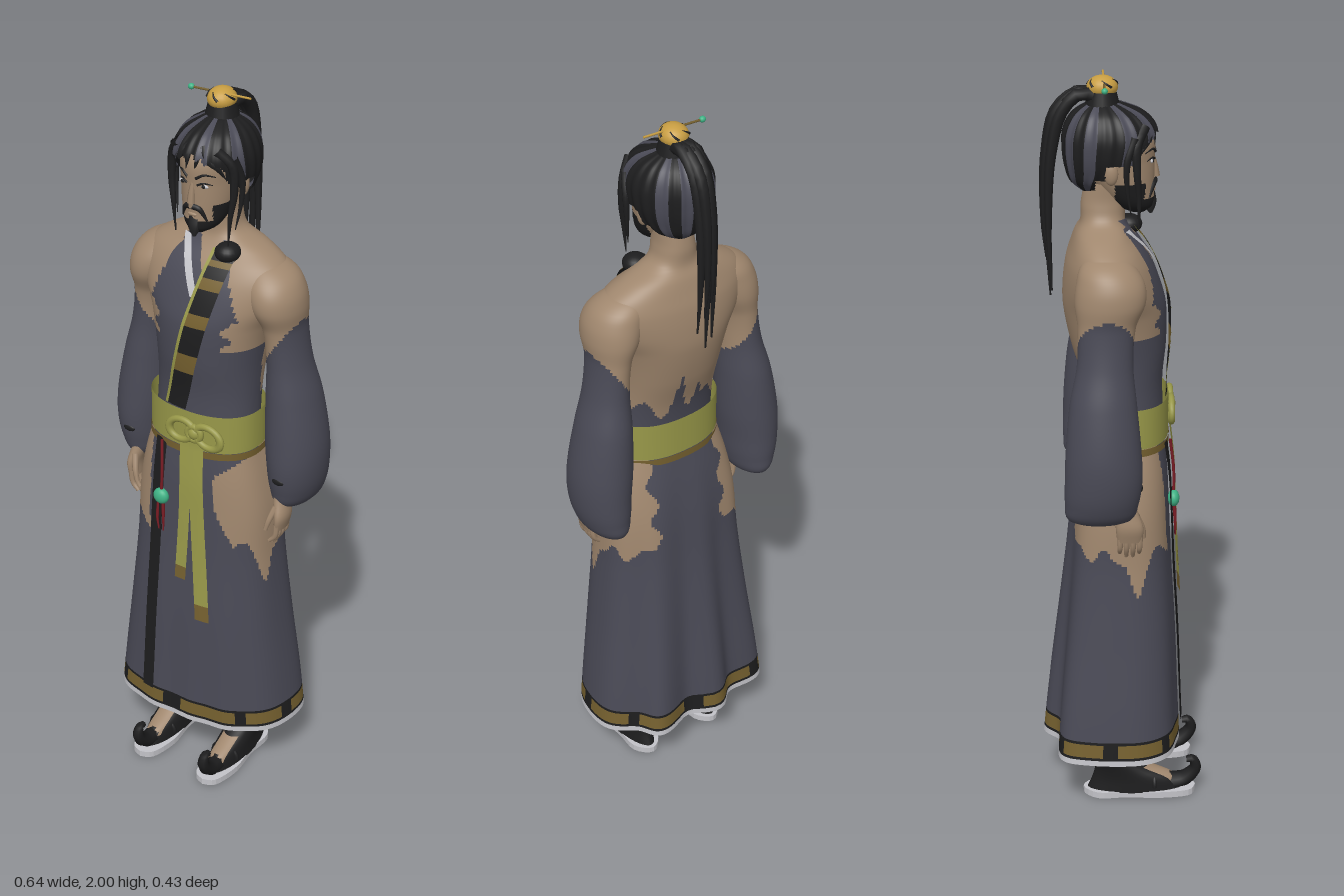
import * as THREE from 'three';

const M = {};
for (const [name, hex] of Object.entries({
  skin: 0xa0876e, robe: 0x4a4a56, black: 0x1d1d1e, olive: 0x989849, gold: 0xc79d42,
  bronze: 0x75602f, jade: 0x3fb285, white: 0xc3c3c8, red: 0x7a1c24 })) {
  M[name] = new THREE.MeshStandardMaterial({ color: hex, side: THREE.DoubleSide });
  M[name].name = name;
}

// Smoothly interpolated cross-section [y, cx, cz, rx, rz] at a height; keys rise in y
function section(keys, y) {
  let i = 0;
  while (i < keys.length - 2 && y > keys[i + 1][0]) i++;
  const a = keys[i], b = keys[i + 1], h = b[0] - a[0];
  const t = Math.min(1, Math.max(0, (y - a[0]) / h)), t2 = t * t, t3 = t2 * t;
  const slope = (j, k) => {
    const p = keys[Math.max(0, j - 1)], q = keys[Math.min(keys.length - 1, j + 1)];
    return (q[k] - p[k]) / (q[0] - p[0]);
  };
  return a.map((_, k) => k === 0 ? y : (2 * t3 - 3 * t2 + 1) * a[k] + (3 * t2 - 2 * t3) * b[k]
    + h * ((t3 - 2 * t2 + t) * slope(i, k) + (t3 - t2) * slope(i + 1, k)));
}

// Grid mesh whose cells are coloured by pick(x, y, z, u, v); an empty pick leaves a hole
function grid(name, rows, cols, wrap, point, pick) {
  const pos = [], n = wrap ? cols : cols + 1, buckets = {};
  for (let j = 0; j <= rows; j++) for (let i = 0; i < n; i++) pos.push(...point(i / cols, j / rows));
  for (let j = 0; j < rows; j++) for (let i = 0; i < cols; i++) {
    const a = j * n + i, b = j * n + (i + 1) % n, c = a + n, d = b + n;
    const mid = k => (pos[a * 3 + k] + pos[b * 3 + k] + pos[c * 3 + k] + pos[d * 3 + k]) / 4;
    const m = typeof pick === 'string' ? pick : pick(mid(0), mid(1), mid(2), (i + 0.5) / cols, (j + 0.5) / rows);
    if (m) (buckets[m] ??= []).push(a, c, b, b, c, d);
  }
  const g = new THREE.BufferGeometry(), index = [], mats = [];
  for (const [m, list] of Object.entries(buckets)) {
    g.addGroup(index.length, list.length, mats.length);
    mats.push(M[m]);
    for (const v of list) index.push(v);
  }
  g.setAttribute('position', new THREE.Float32BufferAttribute(pos, 3));
  g.setIndex(index);
  g.computeVertexNormals();
  const mesh = new THREE.Mesh(g, mats);
  mesh.name = name;
  return mesh;
}

// Closed body through the cross-sections; p is the superellipse power
function loft(name, keys, pick, { rows = 50, seg = 64, p = 2, fold = () => 0 } = {}) {
  const y0 = keys[0][0], y1 = keys[keys.length - 1][0];
  const pw = v => Math.sign(v) * Math.abs(v) ** (2 / p);
  return grid(name, rows, seg, true, (u, v) => {
    const [y, cx, cz, rx, rz] = section(keys, y0 + (y1 - y0) * v), a = u * Math.PI * 2;
    const c = pw(Math.cos(a)), s = pw(Math.sin(a)), f = 1 + fold(c, s, y, a);
    return [cx + rx * c * f, y, cz + rz * s * f];
  }, pick);
}

// Band laid over the front of a loft, along [x, y] points
function frontBand(name, keys, p, path, width, lift, pick) {
  const curve = new THREE.CatmullRomCurve3(path.map(q => new THREE.Vector3(q[0], q[1], 0)));
  return grid(name, 40, 6, false, (u, v) => {
    const c = curve.getPoint(v), x = c.x + (u - 0.5) * width, [, cx, cz, rx, rz] = section(keys, c.y);
    const r = Math.min(0.97, Math.abs((x - cx) / rx));
    return [x, c.y, cz + rz * (1 - r ** p) ** (1 / p) + lift];
  }, pick);
}

// Tube that narrows to a point
function strand(name, pts, r, mat, end = 0.1) {
  const curve = new THREE.CatmullRomCurve3(pts.map(q => new THREE.Vector3(...q)));
  const g = new THREE.TubeGeometry(curve, 20, r, 7), pos = g.attributes.position, v = new THREE.Vector3();
  for (let i = 0; i < pos.count; i++) {
    const t = Math.floor(i / 8) / 20, c = curve.getPointAt(t);
    v.fromBufferAttribute(pos, i).sub(c).multiplyScalar(1 - (1 - end) * t ** 1.5).add(c);
    pos.setXYZ(i, v.x, v.y, v.z);
  }
  return put(name, g, mat);
}
function put(name, g, mat, at = [0, 0, 0], scale = [1, 1, 1], rot = [0, 0, 0]) {
  const m = new THREE.Mesh(g, M[mat]);
  m.name = name;
  m.position.set(...at); m.scale.set(...scale); m.rotation.set(...rot);
  return m;
}
const ball = (name, mat, at, scale) => put(name, new THREE.SphereGeometry(1, 20, 14), mat, at, scale);

const TORSO = [[1.0, 0, .01, .148, .1], [1.1, 0, .008, .146, .1], [1.2, 0, 0, .144, .106], [1.3, 0, -.01, .15, .125],
  [1.4, 0, -.02, .17, .134], [1.46, 0, -.028, .2, .126], [1.52, 0, -.036, .212, .11], [1.56, 0, -.042, .195, .092],
  [1.595, 0, -.05, .14, .072], [1.625, 0, -.05, .072, .058], [1.67, 0, -.048, .052, .058], [1.73, 0, -.04, .05, .055]];
const SKIRT = [[.165, 0, -.02, .264, .178], [.3, 0, -.018, .25, .17], [.5, 0, -.012, .226, .156], [.7, 0, -.008, .206, .14],
  [.85, 0, -.005, .198, .13], [.95, 0, 0, .18, .12], [1.06, 0, .006, .15, .102]];
const HEAD = [[1.645, 0, .04, .012, .018], [1.665, 0, .03, .042, .05], [1.71, 0, .008, .062, .074], [1.78, 0, -.015, .074, .098],
  [1.85, 0, -.025, .078, .105], [1.9, 0, -.035, .055, .07], [1.92, 0, -.04, .01, .01]];
const HAIR = [[1.705, 0, -.075, .03, .03], [1.73, 0, -.06, .07, .072], [1.765, 0, -.042, .094, .103], [1.81, 0, -.035, .106, .117],
  [1.86, 0, -.03, .104, .12], [1.905, 0, -.035, .08, .092], [1.93, 0, -.045, .04, .045], [1.94, 0, -.05, .005, .005]];

function torsoColour(x, y, z) {
  const ax = Math.abs(x);
  if (z < -.02) return y > 1.2 + .03 * Math.sin(x * 70) + .09 * Math.exp(-(((ax - .03) / .012) ** 2)) ? 'skin' : 'robe';
  if (y < 1.345) return 'robe';
  if (y > 1.61 || (y > 1.5 && Math.abs(x - .012) < (y - 1.5) * .3)) return 'skin';
  const blot = y < 1.43 ? .105 + .012 * Math.sin(y * 120) : .06 + (1.62 - y) * .4;
  return ax > blot ? 'skin' : 'robe';
}
function skirtColour(x, y, z, u) {
  if (y < .18) return 'white';
  if (y < .232) return y > .222 || y < .19 || Math.floor(u * 40) % 5 === 0 ? 'black' : 'bronze';
  const ax = Math.abs(x);
  const low = .76 - .12 * Math.exp(-(((z - .03) / .025) ** 2)) + .02 * Math.sin(z * 90);
  const front = x < 0 ? .12 : .085 + 1.2 * Math.max(0, y - .97) + .5 * Math.max(0, .88 - y);
  return y > low && ax > (z > 0 ? front : .11 + .012 * Math.sin(y * 60)) ? 'skin' : 'robe';
}
// Deep pleats at the back, a flatter sloping front
function skirtFold(c, s, y) {
  const k = Math.max(0, 1.03 - y) / .86;
  return k * Math.abs(s) * (s < 0 ? .02 + .1 * Math.cos((c + .15) * 9.7) : -.03 - .07 * c + .012 * Math.sin(c * 14));
}
function headColour(x, y, z) {
  const ax = Math.abs(x);
  return z > -.02 && (y < 1.69 || (y < 1.73 && ax > .046)) ? 'black' : 'skin';
}
function hairColour(x, y, z, u) {
  const ax = Math.abs(x);
  if (z > 0 && ax < .076 && y < 1.868 - ax * .45 + .006 * Math.sin(ax * 300)) return null;
  if (y < 1.79 && z > (ax > .06 && y > 1.75 ? -.045 : -.07)) return null;
  return [1, 4, 7, 9, 12, 14, 17, 19].includes(Math.floor(u * 22)) ? 'robe' : 'black';
}

export function createModel() {
  const root = new THREE.Group();
  root.name = 'robedFigure';
  const add = (...m) => root.add(...m);

  // Body and robe
  add(loft('torso', TORSO, torsoColour, { rows: 100, seg: 110, p: 2.2 }));
  add(loft('skirt', SKIRT, skirtColour, { rows: 120, seg: 140, p: 2.7, fold: skirtFold }));
  const lining = SKIRT.slice(0, 2).map(([y, x, z, rx, rz]) => [y, x, z, rx - .012, rz - .012]);
  add(loft('hemLining', lining, (x, y) => y < .2 ? 'white' : 'robe', { rows: 8, seg: 140, p: 2.7, fold: skirtFold }));

  // Belt with lower trim
  const band = (y0, y1, grow) => [y0, (y0 + y1) / 2, y1].map(y => [y, 0, .008, .148 + grow, .102 + grow]);
  add(loft('belt', band(1.045, 1.155, .012), 'olive', { rows: 6, p: 2.3 }));
  add(loft('beltTrim', band(1.025, 1.045, .014), 'bronze', { rows: 2, p: 2.3 }));

  // Chest strap and collar
  const strapPath = [[.066, 1.6], [.058, 1.54], [.03, 1.4], [-.03, 1.155]];
  add(frontBand('chestStrap', TORSO, 2.2, strapPath, .062, .012, (x, y, z, u, v) => Math.floor(v * 14) % 3 === 2 ? 'bronze' : 'black'));
  add(frontBand('strapEdge', TORSO, 2.2, strapPath.map(([x, y]) => [x - .033, y]), .009, .013, 'olive'));
  add(ball('strapKnot', 'black', [.066, 1.592, .02], [.034, .026, .035]));
  add(frontBand('collarLining', TORSO, 2.2, [[-.06, 1.61], [-.03, 1.56], [.015, 1.48]], .024, .009, 'white'));
  add(frontBand('collar', TORSO, 2.2, [[-.04, 1.635], [-.015, 1.575], [.022, 1.51]], .03, .006, 'robe'));

  // Front panel strip and sash ribbons
  add(frontBand('frontStrip', SKIRT, 2.7, [[-.078, 1.04], [-.09, .7], [-.105, .23]], .038, .01, 'black'));
  const tip = (x, y, z, u, v) => v > .92 ? 'bronze' : 'olive';
  add(frontBand('shortRibbon', SKIRT, 2.7, [[.005, 1.08], [.012, .9], [.004, .64]], .034, .018, tip));
  add(frontBand('longRibbon', SKIRT, 2.7, [[.04, 1.08], [.055, .85], [.08, .53]], .042, .022, tip));

  // Belt knot
  for (const [x, s, r, tilt] of [[-.004, 1.3, .03, .2], [.08, 1.3, .03, -.2], [.037, 1, .02, 0]])
    add(put('beltKnotLoop', new THREE.TorusGeometry(r, .009, 10, 28), 'olive', [x, 1.1, .13], [s, 1, 1], [0, 0, tilt]));
  add(ball('beltKnotCentre', 'olive', [.037, 1.1, .13], [.018, .018, .014]));

  // Hanging pendant
  add(strand('pendantCord', [[-.07, 1.04, .125], [-.064, .95, .135], [-.068, .87, .135]], .004, 'red', 1));
  add(ball('pendantBead', 'jade', [-.068, .87, .135], [.023, .023, .016]));
  for (const dx of [-.007, 0, .007])
    add(strand('pendantTassel', [[-.068 + dx, .85, .137], [-.068 + dx * 1.4, .8, .14], [-.066 + dx, .765, .14]], .005, dx ? 'red' : 'black', .4));

  for (const s of [-1, 1]) {
    // Arm with fallen sleeve
    const arm = [[.87, .23, -.065, .01, .03], [.885, .235, -.065, .045, .08], [.93, .24, -.06, .066, .095], [1.0, .242, -.055, .076, .1],
      [1.08, .237, -.055, .079, .097], [1.2, .225, -.055, .069, .086], [1.3, .212, -.05, .055, .072], [1.4, .2, -.045, .053, .074],
      [1.46, .187, -.036, .07, .09], [1.51, .174, -.035, .074, .086], [1.55, .155, -.042, .064, .066], [1.577, .13, -.045, .03, .03], [1.58, .12, -.045, .004, .004]];
    const sided = keys => keys.map(([y, x, ...r]) => [y, x * s, ...r]);
    add(loft('armAndSleeve', sided(arm), (x, y) => y > 1.3 + 1.5 * (Math.abs(x) - .17) ? 'skin' : 'robe', { rows: 80 }));
    add(ball('cuffMark', 'black', [s * .24, .975, .04], [.018, .01, .006]));

    // Hand
    add(loft('hand', sided([[.82, .236, .012, .012, .032], [.86, .24, .012, .017, .036], [.9, .232, .005, .02, .03], [.96, .225, -.01, .02, .026]]),
      'skin', { rows: 14, seg: 20 }));
    for (let i = 0; i < 4; i++) {
      const z = -.013 + i * .017;
      add(strand('finger', [[s * .237, .84, z], [s * .232, .8, z], [s * .215, .77 + (i === 0 || i === 3 ? .01 : 0), z]], .009, 'skin', .6));
    }
    add(strand('thumb', [[s * .23, .89, .03], [s * .218, .85, .046], [s * .21, .82, .05]], .01, 'skin', .6));

    // Leg, shoe and sole
    const leg = [[.015, .108, .035, .044, .135], [.05, .108, .03, .042, .115], [.08, .108, .0, .042, .078], [.11, .108, -.026, .044, .054],
      [.2, .108, -.028, .047, .053], [.45, .1, -.025, .055, .06], [.8, .085, -.02, .075, .08]];
    add(loft('legAndShoe', sided(leg), (x, y, z) =>
      y > .035 && y < .085 && z > .045 && z < .135 && Math.abs(x - s * .108) < .027 ? 'skin' : 'black', { rows: 90, seg: 40 }));
    add(put('ankleBand', new THREE.TorusGeometry(.045, .005, 8, 28), 'black', [s * .108, .115, -.026], [1, 1.18, 1], [Math.PI / 2, 0, 0]));
    add(put('shoeStrap', new THREE.TorusGeometry(.036, .006, 8, 20, Math.PI), 'black', [s * .108, .03, .085], [1.1, 1, 1]));
    add(strand('curledToe', [[s * .11, .03, .12], [s * .111, .04, .17], [s * .112, .075, .2], [s * .112, .1, .192], [s * .112, .098, .175]], .026, 'black', .35));
    const outline = new THREE.Shape(new THREE.SplineCurve([[0, -.2], [.034, -.18], [.05, -.1], [.04, -.01], [.042, .07], [0, .11],
      [-.042, .07], [-.04, -.01], [-.046, -.1], [-.034, -.18], [0, -.2]].map(q => new THREE.Vector2(...q))).getPoints(40));
    add(put('sole', new THREE.ExtrudeGeometry(outline, { depth: .018, bevelEnabled: false }), 'white', [s * .108, 0, 0], [1, 1, 1], [-Math.PI / 2, 0, 0]));

    // Eye, brow, moustache and ear
    const hz = (x, y) => { const k = section(HEAD, y); return k[2] + k[4] * Math.sqrt(1 - (x / k[3]) ** 2); };
    add(ball('eye', 'white', [s * .031, 1.786, hz(.031, 1.786)], [.013, .005, .004]));
    add(ball('pupil', 'black', [s * .031, 1.786, hz(.031, 1.786) + .003], [.006, .005, .003]));
    const arch = (name, pts, r) => add(strand(name, pts.map(([x, y]) => [s * x, y, hz(x, y) + .001]), r, 'black', .3));
    arch('upperLid', [[.015, 1.788], [.03, 1.794], [.048, 1.788]], .003);
    arch('brow', [[.012, 1.806], [.032, 1.817], [.054, 1.81]], .004);
    arch('moustache', [[.003, 1.728], [.02, 1.723], [.036, 1.69]], .008);
    add(ball('ear', 'skin', [s * .08, 1.765, -.03], [.012, .03, .018]));

    // Hair locks framing the face
    add(strand('sideLock', [[s * .055, 1.88, .055], [s * .088, 1.84, .035], [s * .094, 1.77, .035], [s * .086, 1.7, .04], [s * .08, 1.62, .04]], .014, 'black'));
    add(strand('thinLock', [[s * .088, 1.86, .03], [s * .1, 1.8, .01], [s * .098, 1.73, .01], [s * .088, 1.66, .02]], .011, 'black'));
    add(strand('fringe', [[s * .02, 1.885, .06], [s * .038, 1.86, .071], [s * .06, 1.835, .058], [s * .07, 1.8, .035]], .012, 'black'));
    add(strand('forelock', [[s * .016, 1.885, .066], [s * .014, 1.855, .08], [s * (.012 - s * .006), 1.825, .082]], .009, 'black'));
  }

  // Head, nose and chin beard
  add(loft('head', HEAD, headColour, { rows: 70, seg: 96 }));
  add(strand('nose', [[0, 1.738, .086], [0, 1.765, .083], [0, 1.795, .078]], .011, 'skin', .4));
  add(ball('lips', 'skin', [0, 1.705, .081], [.014, .005, .005]));
  add(strand('chinBeard', [[0, 1.69, .06], [0, 1.668, .07], [0, 1.64, .074]], .026, 'black', .15));

  // Hair, topknot and pin
  add(loft('hair', HAIR, hairColour, { rows: 70, seg: 132, fold: (c, s, y, a) => .02 * Math.cos(a * 22) }));
  add(put('topknot', new THREE.CylinderGeometry(.034, .045, .045, 20), 'black', [0, 1.945, -.05]));
  add(ball('crown', 'gold', [0, 1.97, -.05], [.037, .03, .04]));
  // Dark slits curling round the crown
  for (let i = 0; i < 5; i++) {
    const slit = [0, .5, 1].map(t => {
      const a = i * 1.257 + t * .7, e = .15 + t * .65;
      return [.037 * Math.cos(a) * Math.cos(e), 1.97 + .03 * Math.sin(e), -.05 + .04 * Math.sin(a) * Math.cos(e)];
    });
    add(strand('crownSlit', slit, .0035, 'black', .3));
  }
  for (const [x, mat] of [[-.045, 'bronze'], [.043, 'gold']])
    add(put('hairpin', new THREE.CylinderGeometry(.003, .003, .088, 8), mat, [x, 1.985 + x * .06, -.046], [1, 1, 1], [0, 0, Math.PI / 2 + .06]));
  add(ball('pinBead', 'jade', [-.09, 1.98, -.046], [.009, .008, .008]));

  // Ponytail
  for (const [x, z, end] of [[0, 0, 1.42], [.016, .004, 1.47], [-.016, .004, 1.44], [.008, -.01, 1.52], [-.008, -.008, 1.56]])
    add(strand('ponytail', [[x * .7, 1.945, -.06], [x, 1.958, -.105], [x, 1.915, -.155 + z], [x * 1.1, 1.8, -.185 + z],
      [x * 1.2, 1.62, -.193 + z], [x * 1.4, end, -.186 + z]], .018, 'black', .12));
  return root;
}
